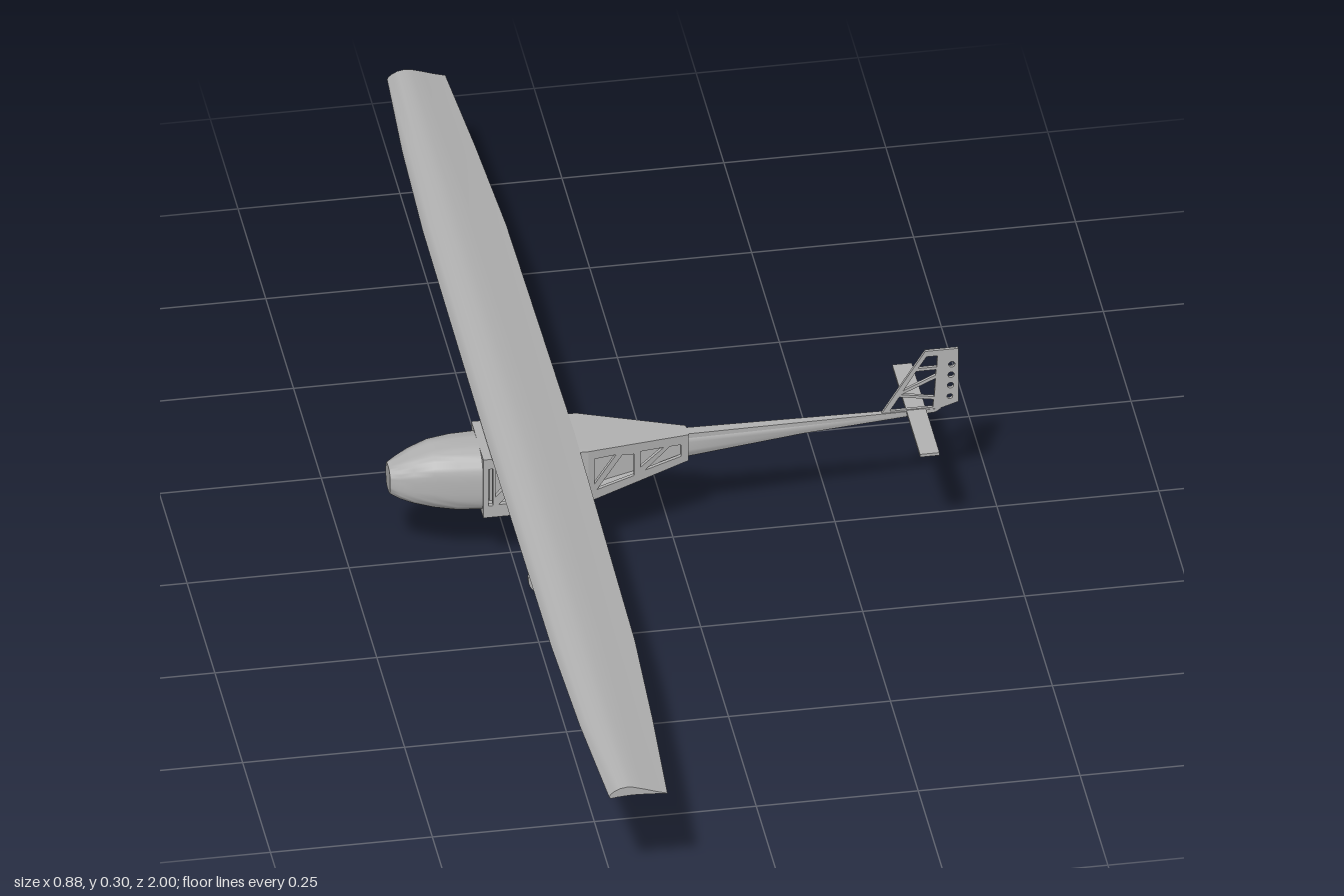
import * as THREE from 'three';
import { toCreasedNormals } from 'three/addons/utils/BufferGeometryUtils.js';

const grey = new THREE.MeshStandardMaterial({ color: 0xb4b4b4, side: THREE.DoubleSide });
grey.name = 'bare grey';

// Closed skin over a row of equal-length rings, capped at both ends, faces turned outward
function skin(rings, crease = 0.6) {
  const n = rings[0].length, pos = [], idx = [];
  rings.forEach(r => r.forEach(p => pos.push(...p)));
  for (let i = 0; i < rings.length - 1; i++) for (let j = 0; j < n; j++) {
    const a = i * n + j, b = i * n + (j + 1) % n;
    idx.push(a, b, a + n, b, b + n, a + n);
  }
  [0, rings.length - 1].forEach((k, end) => {
    const c = pos.length / 3, mid = [0, 1, 2].map(d => rings[k].reduce((s, p) => s + p[d], 0) / n);
    pos.push(...mid);
    for (let j = 0; j < n; j++) {
      const a = k * n + j, b = k * n + (j + 1) % n;
      idx.push(...(end ? [c, a, b] : [c, b, a]));
    }
  });
  const at = i => new THREE.Vector3().fromArray(pos, i * 3);
  let volume = 0;
  for (let i = 0; i < idx.length; i += 3) volume += at(idx[i]).dot(at(idx[i + 1]).cross(at(idx[i + 2])));
  if (volume < 0) idx.reverse();
  const g = new THREE.BufferGeometry();
  g.setAttribute('position', new THREE.Float32BufferAttribute(pos, 3));
  g.setIndex(idx);
  return toCreasedNormals(g, crease);
}

// Body along x from stations [x, low y, high y, half width]; power 1 is an ellipse, smaller is boxier
function body(stations, sides = 4, power = 1) {
  const bend = v => Math.sign(v) * Math.pow(Math.abs(v), power);
  return skin(stations.map(([x, lo, hi, w]) => Array.from({ length: sides }, (_, j) => {
    const a = (j + 0.5) / sides * Math.PI * 2, k = sides === 4 ? Math.SQRT2 : 1;
    return [x, (lo + hi) / 2 + bend(Math.sin(a)) * k * (hi - lo) / 2, bend(Math.cos(a)) * k * w];
  })));
}

const path = pts => pts.map(p => new THREE.Vector2(...p));

// Flat plate in the xy plane, centred on z = 0, with polygon and round openings
function plate(outline, holes, depth, circles = []) {
  const s = new THREE.Shape(path(outline));
  holes.forEach(h => s.holes.push(new THREE.Path(path(h))));
  circles.forEach(([x, y, r]) => s.holes.push(new THREE.Path().absarc(x, y, r, 0, Math.PI * 2, true)));
  return new THREE.ExtrudeGeometry(s, { depth, bevelEnabled: false, curveSegments: 20 }).translate(0, 0, -depth / 2);
}

export function createModel() {
  const model = new THREE.Group();
  const add = (name, geometry, parent = model) => {
    const m = new THREE.Mesh(geometry, grey);
    m.name = name;
    parent.add(m);
    return m;
  };

  // Nose fairing, from a blunt tip to the squarer cabin
  add('nose', body([
    [-0.44, 0.136, 0.18, 0.02], [-0.425, 0.128, 0.187, 0.029], [-0.405, 0.12, 0.197, 0.036],
    [-0.375, 0.112, 0.207, 0.044], [-0.34, 0.106, 0.21, 0.05], [-0.302, 0.104, 0.21, 0.053],
  ], 40, 0.6));

  // Cabin decks and bulkheads
  add('cabinRoof', body([[-0.302, 0.199, 0.21, 0.053], [-0.14, 0.197, 0.207, 0.053], [0.022, 0.184, 0.193, 0.012]]));
  add('cabinFloor', body([[-0.302, 0.104, 0.112, 0.053], [-0.195, 0.104, 0.112, 0.053],
    [-0.14, 0.115, 0.123, 0.053], [0.022, 0.146, 0.154, 0.012]]));
  add('frontBulkhead', body([[-0.302, 0.104, 0.21, 0.052], [-0.297, 0.104, 0.21, 0.052]]));
  add('middleBulkhead', body([[-0.146, 0.114, 0.206, 0.052], [-0.138, 0.114, 0.206, 0.052]]));
  add('rearBulkhead', body([[0.012, 0.146, 0.193, 0.014], [0.022, 0.146, 0.193, 0.012]]));
  add('cabinCore', body([[-0.287, 0.108, 0.2, 0.02], [-0.195, 0.108, 0.2, 0.02], [-0.158, 0.115, 0.2, 0.02]]));
  add('rearCore', body([[-0.14, 0.12, 0.2, 0.02], [0.02, 0.15, 0.188, 0.008]]));

  // Truss sides with triangular openings
  const frontSide = [[-0.302, 0.104], [-0.195, 0.104], [-0.14, 0.115], [-0.14, 0.207], [-0.302, 0.21]];
  const frontHoles = [
    [[-0.294, 0.125], [-0.287, 0.125], [-0.287, 0.192], [-0.294, 0.192]],
    [[-0.283, 0.14], [-0.238, 0.19], [-0.283, 0.19]],
    [[-0.278, 0.126], [-0.224, 0.126], [-0.224, 0.186]],
    [[-0.216, 0.126], [-0.164, 0.126], [-0.216, 0.186]],
    [[-0.204, 0.19], [-0.16, 0.14], [-0.16, 0.19]],
    [[-0.156, 0.128], [-0.15, 0.128], [-0.15, 0.191], [-0.156, 0.191]],
  ];
  const rearSide = [[-0.14, 0.115], [0.022, 0.146], [0.022, 0.193], [-0.14, 0.207]];
  const rearHoles = [
    [[-0.13, 0.145], [-0.13, 0.191], [-0.095, 0.189]],
    [[-0.126, 0.134], [-0.066, 0.143], [-0.066, 0.182], [-0.085, 0.186]],
    [[-0.056, 0.155], [-0.056, 0.184], [-0.018, 0.181]],
    [[-0.048, 0.148], [0.01, 0.157], [0.01, 0.178], [-0.008, 0.18]],
  ];
  for (const s of [1, -1]) {
    add('frontTrussSide', plate(frontSide, frontHoles, 0.008).translate(0, 0, s * 0.05));
    const g = plate(rearSide, rearHoles, 0.006), p = g.attributes.position;
    for (let i = 0; i < p.count; i++) {
      const t = (p.getX(i) + 0.14) / 0.162;
      p.setZ(i, p.getZ(i) + s * (0.051 - 0.041 * t));
    }
    g.computeVertexNormals();
    add('rearTrussSide', g);
  }

  // Tail boom with a thin top spine
  add('tailBoom', body([[0.02, 0.147, 0.19, 0.008], [0.2, 0.168, 0.19, 0.005], [0.405, 0.184, 0.191, 0.003]], 20, 0.6));
  add('boomSpine', body([[0.02, 0.184, 0.192, 0.009], [0.405, 0.186, 0.191, 0.003]]));

  // Wing: cambered section, gently tapering to each tip; stations [z, nose x, tail x, top y]
  const half = [[0.58, -0.287, -0.158, 0.231], [0.8, -0.281, -0.168, 0.229], [1, -0.27, -0.18, 0.226]];
  const stations = [...half.map(([z, ...r]) => [-z, ...r]).reverse(), [0, -0.289, -0.152, 0.232], ...half];
  const section = [[1, 0.02], [0.8, 0.3], [0.6, 0.65], [0.42, 0.93], [0.3, 1], [0.18, 0.9], [0.08, 0.65], [0.02, 0.38],
    [0, 0.15], [0.03, 0], [0.15, 0.08], [0.4, 0.16], [0.7, 0.1], [1, -0.03]];
  add('wing', skin(stations.map(([z, x0, x1, top]) =>
    section.map(([u, v]) => [x0 + u * (x1 - x0), 0.208 + v * (top - 0.208), z])), 0.8));

  // Tailplane and open fin with a drilled rudder
  add('tailplane', new THREE.BoxGeometry(0.03, 0.005, 0.25).translate(0.375, 0.19, 0));
  add('fin', plate(
    [[0.315, 0.18], [0.405, 0.185], [0.413, 0.19], [0.417, 0.297], [0.389, 0.297]],
    [[[0.334, 0.194], [0.401, 0.194], [0.402, 0.208], [0.349, 0.218]],
      [[0.352, 0.222], [0.403, 0.213], [0.405, 0.246]],
      [[0.355, 0.229], [0.405, 0.252], [0.406, 0.262], [0.375, 0.262]],
      [[0.378, 0.267], [0.407, 0.267], [0.408, 0.287], [0.391, 0.287]]], 0.005));
  add('rudder', plate([[0.409, 0.19], [0.44, 0.2], [0.44, 0.297], [0.416, 0.297]], [], 0.005,
    [[0.427, 0.211, 0.0045], [0.428, 0.231, 0.005], [0.429, 0.25, 0.005], [0.43, 0.269, 0.005]]));

  // Bowed landing legs: two rails joined by webs, following a curve in the yz plane
  const bow = new THREE.CatmullRomCurve3([[0.104, 0.04], [0.105, 0.065], [0.098, 0.092], [0.083, 0.11], [0.055, 0.118], [0.027, 0.119]]
    .map(([y, z]) => new THREE.Vector3(0, y, z)));
  const strip = (t0, t1, u0, u1) => skin(Array.from({ length: 13 }, (_, i) => {
    const t = t0 + (t1 - t0) * i / 12, p = bow.getPointAt(t), d = bow.getTangentAt(t);
    const x0 = -0.226 + 0.0 * t, w = 0.042 - 0.022 * t, ny = -d.z * 0.002, nz = d.y * 0.002;
    const a = x0 + w * u0, b = x0 + w * u1;
    return [[a, p.y + ny, p.z + nz], [b, p.y + ny, p.z + nz], [b, p.y - ny, p.z - nz], [a, p.y - ny, p.z - nz]];
  }));
  for (const s of [1, -1]) {
    const gear = new THREE.Group();
    gear.name = s > 0 ? 'leftLandingGear' : 'rightLandingGear';
    gear.scale.z = s;
    model.add(gear);
    add('legFrontRail', strip(0, 1, 0, 0.22), gear);
    add('legRearRail', strip(0, 1, 0.78, 1), gear);
    for (const [t0, t1] of [[0, 0.36], [0.48, 0.56], [0.72, 1]]) add('legWeb', strip(t0, t1, 0.22, 0.78), gear);

    // Spoked wheel
    const holes = Array.from({ length: 6 }, (_, i) => {
      const a = i * Math.PI / 3 + 0.3;
      return [0.015 * Math.cos(a), 0.015 * Math.sin(a), 0.0048];
    });
    const rim = new THREE.Shape().absarc(0, 0, 0.027, 0, Math.PI * 2);
    add('wheel', plate(rim.getPoints(24).slice(0, -1).map(p => [p.x, p.y]), [], 0.008, [...holes, [0, 0, 0.003]])
      .translate(-0.217, 0.027, 0.117), gear);
    add('axle', new THREE.CylinderGeometry(0.003, 0.003, 0.014, 12).rotateX(Math.PI / 2).translate(-0.217, 0.027, 0.117), gear);
  }
  add('gearCrossbar', new THREE.BoxGeometry(0.042, 0.004, 0.09).translate(-0.205, 0.103, 0));

  return model;
}
